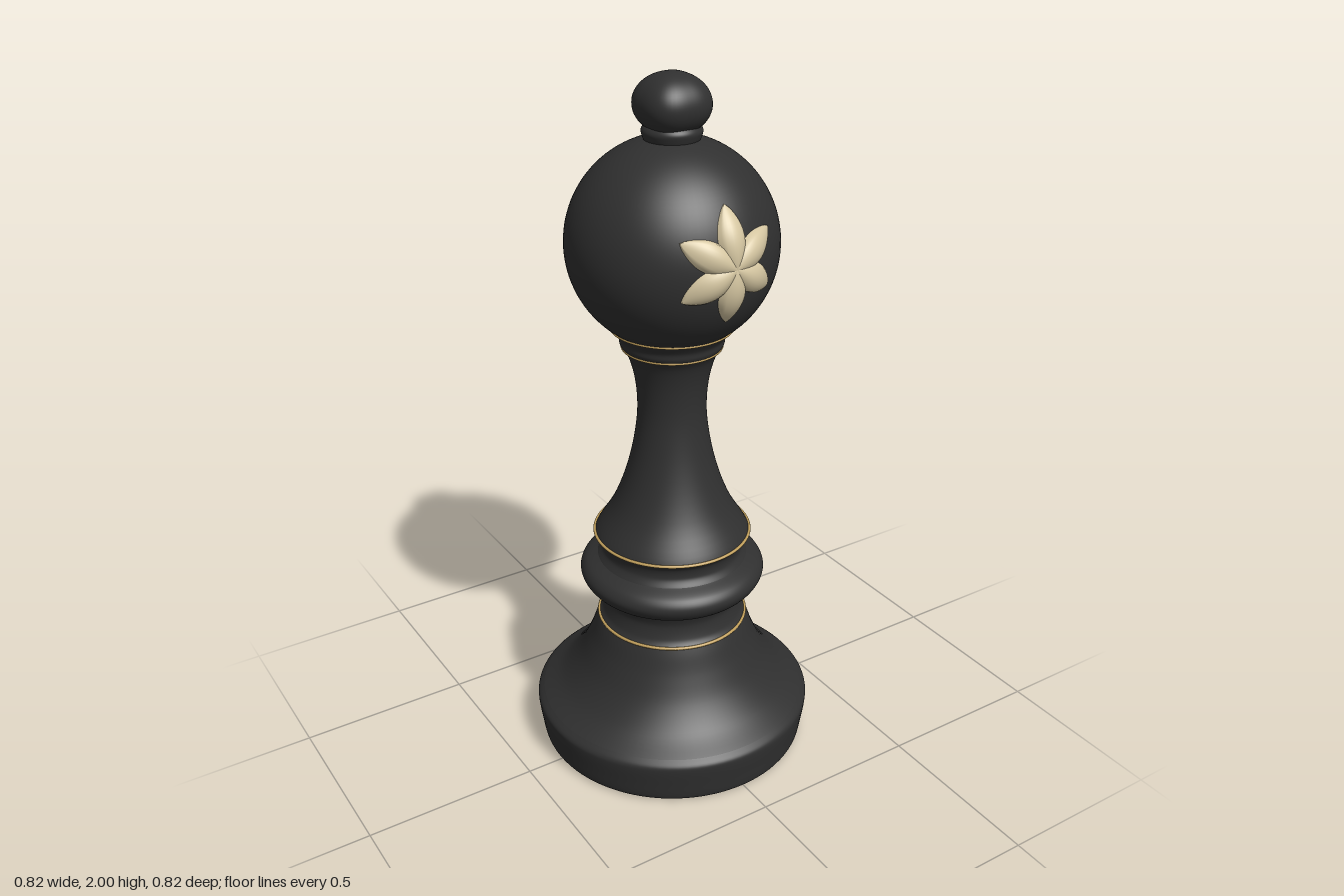
import * as THREE from 'three';

const ebony = new THREE.MeshStandardMaterial({ color: 0x303030 });
ebony.name = 'ebony';
const ivory = new THREE.MeshStandardMaterial({ color: 0xd6c7a2 });
ivory.name = 'ivory';
const gilt = new THREE.MeshStandardMaterial({ color: 0xc2a05c });
gilt.name = 'gilt';

const BALL_Y = 1.553, BALL_R = 0.287;

function add(parent, name, geometry, material) {
  const mesh = new THREE.Mesh(geometry, material);
  mesh.name = name;
  parent.add(mesh);
  return mesh;
}

// Turned section: [radius, height] points from bottom to top, smoothed by a spline
function turned(points, steps = 28) {
  const v = points.map(([r, y]) => new THREE.Vector2(r, y));
  const profile = v.length > 2 ? new THREE.SplineCurve(v).getPoints(steps) : v;
  return new THREE.LatheGeometry(profile, 96);
}

// One domed, pointed petal wrapped onto the ball, pointing at the given angle
function petal(angle, centreY) {
  const length = 0.152, along = 18, across = 10;
  const position = [], index = [];
  for (let i = 0; i <= along; i++) {
    const s = i / along;
    const half = 0.042 * Math.pow(Math.sin(Math.PI * Math.pow(0.12 + 0.88 * s, 1.15)), 0.75) || 0;
    for (let j = 0; j <= across; j++) {
      const t = (j / across) * 2 - 1;
      const a = s * length, b = t * half;
      const x = a * Math.cos(angle) - b * Math.sin(angle);
      const y = a * Math.sin(angle) + b * Math.cos(angle) + centreY;
      const lift = 0.004 + (0.011 + 0.009 * Math.sin(Math.PI * s)) * (1 - t * t) * (1 - s ** 4);
      const sink = Math.abs(t) > 0.99 ? -0.006 : lift;
      const k = (BALL_R + sink) / BALL_R;
      const z = Math.sqrt(BALL_R ** 2 - x * x - (y - BALL_Y) ** 2);
      position.push(x, BALL_Y + (y - BALL_Y) * k, z * k);
      if (i < along && j < across) {
        const p = i * (across + 1) + j, q = p + across + 1;
        index.push(p, q, p + 1, q, q + 1, p + 1);
      }
    }
  }
  const g = new THREE.BufferGeometry();
  g.setAttribute('position', new THREE.Float32BufferAttribute(position, 3));
  g.setIndex(index);
  g.computeVertexNormals();
  return g;
}

export function createModel() {
  const model = new THREE.Group();
  model.name = 'chessPiece';

  // Foot and stem, one lathe per section so the edges between them stay crisp
  const sections = {
    underside: [[0, 0], [0.385, 0]],
    footRim: [[0.385, 0], [0.396, 0.012], [0.404, 0.06], [0.411, 0.11], [0.409, 0.13], [0.393, 0.146]],
    baseFlare: [[0.393, 0.146], [0.335, 0.188], [0.285, 0.25], [0.25, 0.32], [0.228, 0.38], [0.218, 0.405]],
    lowerWaist: [[0.218, 0.405], [0.205, 0.425], [0.198, 0.465], [0.208, 0.498]],
    bulge: [[0.208, 0.498], [0.25, 0.525], [0.269, 0.56], [0.255, 0.59], [0.218, 0.61]],
    upperWaist: [[0.218, 0.61], [0.205, 0.632], [0.208, 0.66], [0.225, 0.682]],
    stem: [[0.225, 0.682], [0.213, 0.705], [0.173, 0.77], [0.14, 0.85], [0.115, 0.94], [0.1, 1.03],
      [0.097, 1.1], [0.104, 1.17], [0.12, 1.23], [0.137, 1.258]],
    collar: [[0.137, 1.258], [0.144, 1.272], [0.148, 1.292], [0.168, 1.32]],
    finialNeck: [[0.07, 1.82], [0.077, 1.838], [0.08, 1.852], [0.074, 1.864], [0.06, 1.875]],
  };
  for (const [name, points] of Object.entries(sections)) add(model, name, turned(points), ebony);

  // Large round head
  add(model, 'headBall', new THREE.SphereGeometry(BALL_R, 80, 56), ebony).position.y = BALL_Y;

  // Finial, pushed slightly towards a rounded square in plan
  const finial = new THREE.SphereGeometry(1, 56, 36);
  const pos = finial.attributes.position;
  for (let i = 0; i < pos.count; i++) {
    const x = pos.getX(i), y = pos.getY(i), z = pos.getZ(i);
    const r = Math.hypot(x, z);
    const n = 2.6;
    const k = r > 1e-4 ? r / Math.pow(Math.abs(x) ** n + Math.abs(z) ** n, 1 / n) : 1;
    pos.setXYZ(i, x * k * 0.096, y * 0.081, z * k * 0.096);
  }
  finial.computeVertexNormals();
  add(model, 'finial', finial, ebony).position.y = 1.919;

  // Thin inlaid rings
  for (const [r, y] of [[0.218, 0.405], [0.225, 0.685], [0.137, 1.261], [0.168, 1.32]]) {
    const ring = add(model, 'inlayRing', new THREE.TorusGeometry(r, 0.0045, 8, 96), gilt);
    ring.rotation.x = Math.PI / 2;
    ring.position.y = y;
  }

  // Six-petalled flowers on the front and back of the head
  for (const [name, turn] of [['frontFlower', 0], ['backFlower', Math.PI]]) {
    const flower = new THREE.Group();
    flower.name = name;
    flower.rotation.y = turn;
    for (let i = 0; i < 6; i++) add(flower, 'petal', petal(Math.PI / 2 + (i * Math.PI) / 3, 1.565), ivory);
    model.add(flower);
  }
  return model;
}
